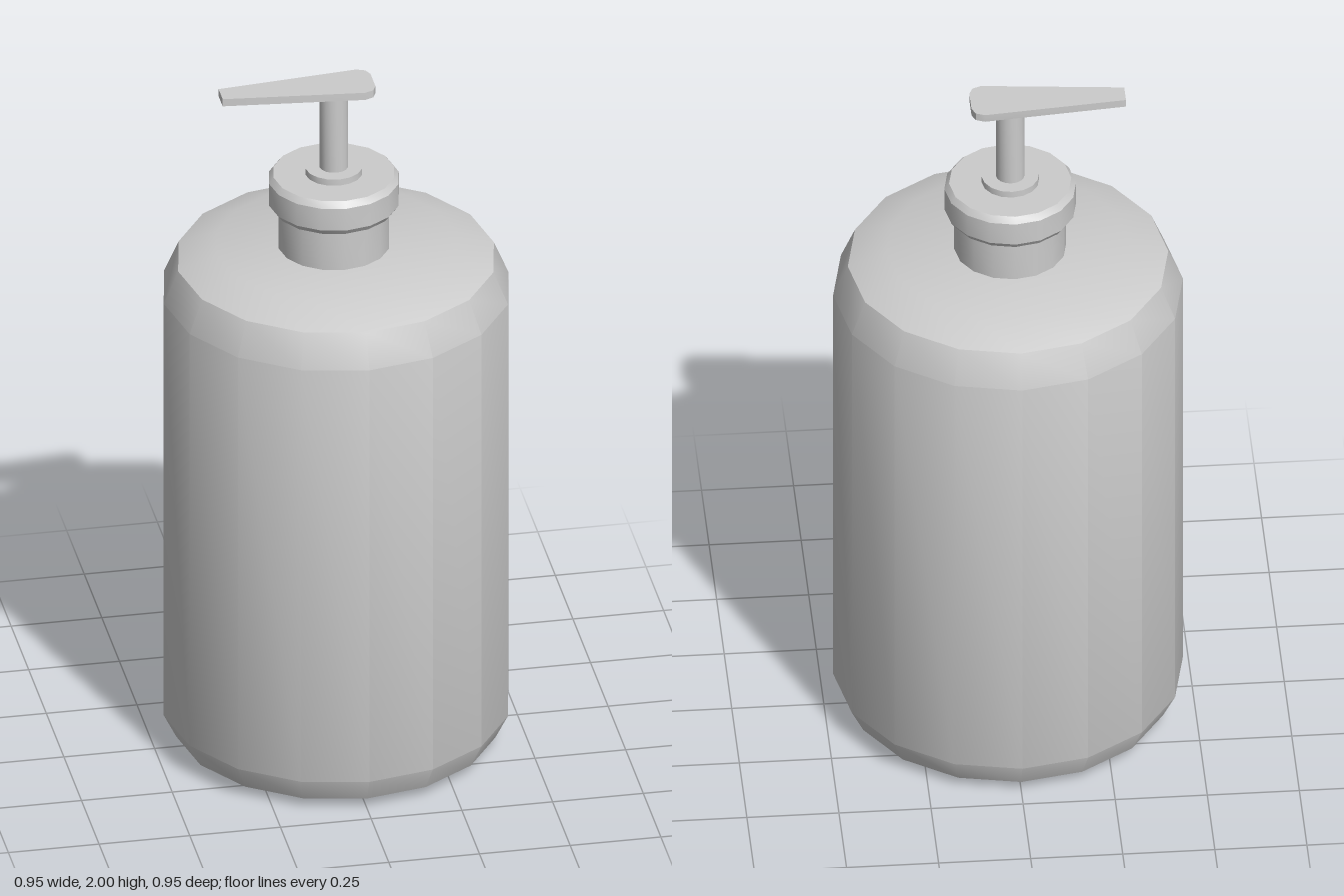
import * as THREE from 'three';
import { toCreasedNormals } from 'three/addons/utils/BufferGeometryUtils.js';

const SIDES = 16;
const PUMP_X = -0.006; // the pump sits a touch off the bottle axis
const material = new THREE.MeshStandardMaterial({ color: 0xcccccc });

function addPart(group, name, geometry, x = 0) {
  const mesh = new THREE.Mesh(toCreasedNormals(geometry, Math.PI / 6), material);
  mesh.name = name;
  mesh.position.x = x;
  group.add(mesh);
  return mesh;
}

// Turned part from [radius, height] points, listed bottom to top
function turned(points) {
  return new THREE.LatheGeometry(points.map(([r, y]) => new THREE.Vector2(r, y)), SIDES);
}

export function createModel() {
  const model = new THREE.Group();
  model.name = 'pumpBottle';

  // Bottle with rounded base and sloping shoulder
  addPart(model, 'bottle', turned([
    [0, 0], [0.38, 0], [0.44, 0.03], [0.475, 0.1],
    [0.475, 1.37], [0.435, 1.465], [0.33, 1.507], [0, 1.507],
  ]));

  // Neck and chamfered screw cap
  addPart(model, 'neck', turned([[0.152, 1.5], [0.152, 1.64]]), PUMP_X);
  addPart(model, 'cap', turned([
    [0, 1.627], [0.168, 1.627], [0.179, 1.643], [0.179, 1.71], [0.166, 1.727], [0, 1.727],
  ]), PUMP_X);

  // Pump collar and stem
  addPart(model, 'collar', turned([[0.078, 1.72], [0.078, 1.746], [0, 1.746]]), PUMP_X);
  addPart(model, 'stem', turned([[0.039, 1.74], [0.039, 1.985]]), PUMP_X);

  // Flat tapered nozzle: outline in plan, extruded downwards from the top
  const half = [[-0.318, 0.029], [0.068, 0.067], [0.092, 0.057], [0.102, 0.035]];
  const outline = [...half, ...half.map(([x, z]) => [x, -z]).reverse()];
  const shape = new THREE.Shape(outline.map(([x, z]) => new THREE.Vector2(x, z)));
  const plate = new THREE.ExtrudeGeometry(shape, { depth: 0.022, bevelEnabled: false });
  plate.rotateX(Math.PI / 2).translate(0, 2, 0);
  addPart(model, 'nozzle', plate);

  return model;
}
